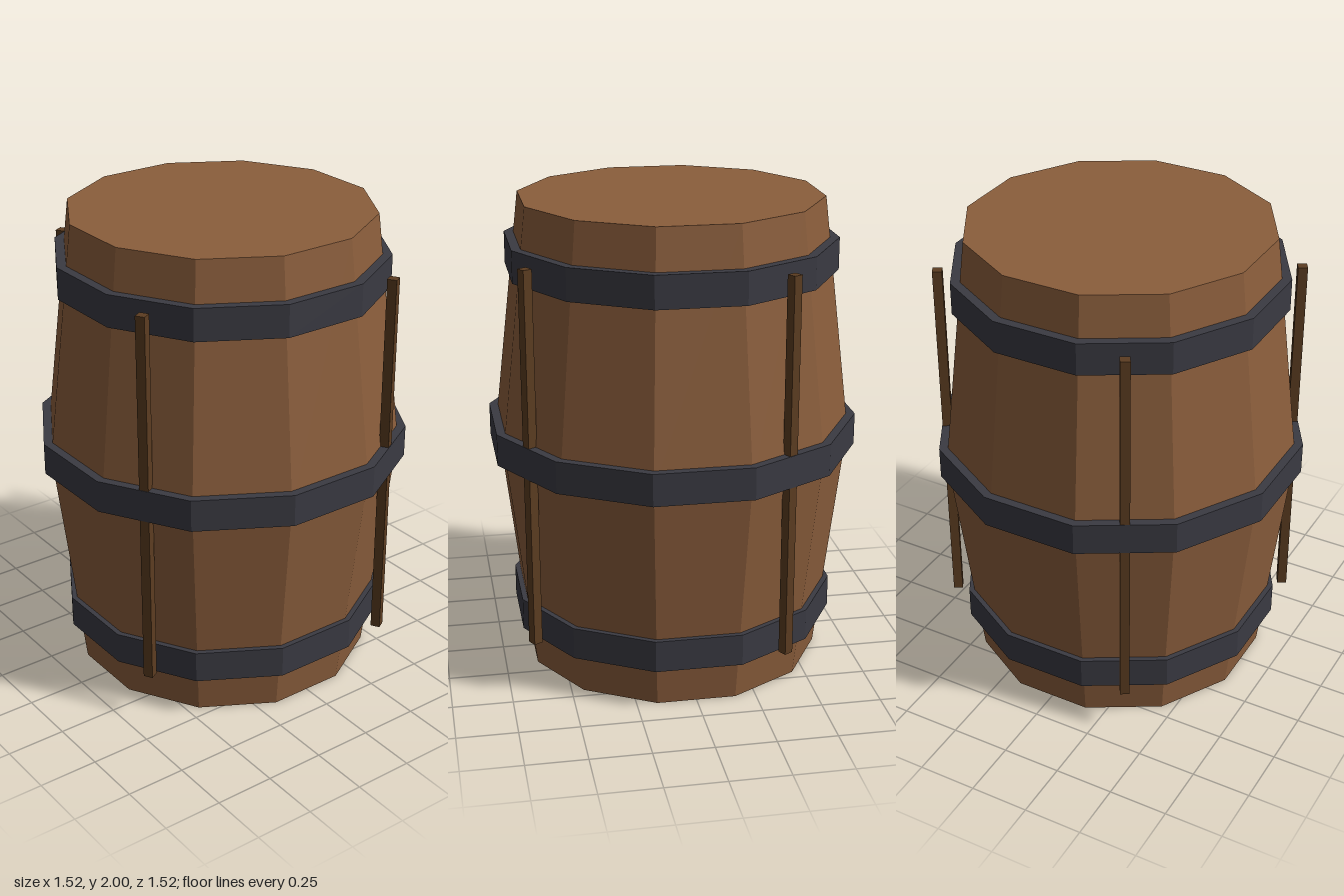
import * as THREE from 'three';

const SIDES = 12;
const HALF = Math.PI / SIDES;

// Flat-sided drum: radii are measured to the middle of a side, and a side faces +z
function drum(topR, bottomR, y0, y1, open = false) {
  const k = 1 / Math.cos(HALF);
  const g = new THREE.CylinderGeometry(topR * k, bottomR * k, y1 - y0, SIDES, 1, open, HALF);
  return g.translate(0, (y0 + y1) / 2, 0);
}

export function createModel() {
  const make = (name, color) => {
    const m = new THREE.MeshStandardMaterial({ color, flatShading: true });
    m.name = name;
    return m;
  };
  const wood = make('wood', 0x8b5e3c);
  const iron = make('iron', 0x3a3a42);
  const darkWood = make('dark wood', 0x5c3d21);

  const barrel = new THREE.Group();
  barrel.name = 'barrel';
  const add = (name, geometry, material) => {
    const mesh = new THREE.Mesh(geometry, material);
    mesh.name = name;
    barrel.add(mesh);
    return mesh;
  };

  // Body: two tapered halves meeting at the belly
  add('lowerBody', drum(0.73, 0.614, 0, 1), wood);
  add('upperBody', drum(0.614, 0.73, 1, 2), wood);

  // Iron hoops
  add('bottomHoop', drum(0.672, 0.672, 0.175, 0.31), iron);
  add('middleHoop', drum(0.758, 0.758, 0.935, 1.07), iron);
  add('topHoop', drum(0.672, 0.672, 1.695, 1.83), iron);

  // Four upright battens, a quarter turn apart
  for (let i = 0; i < 4; i++) {
    const a = Math.PI / 6 + (i * Math.PI) / 2;
    const batten = add('batten', new THREE.BoxGeometry(0.04, 1.6, 0.04), darkWood);
    batten.position.set(Math.sin(a) * 0.736, 1, Math.cos(a) * 0.736);
    batten.rotation.y = a;
  }
  return barrel;
}
